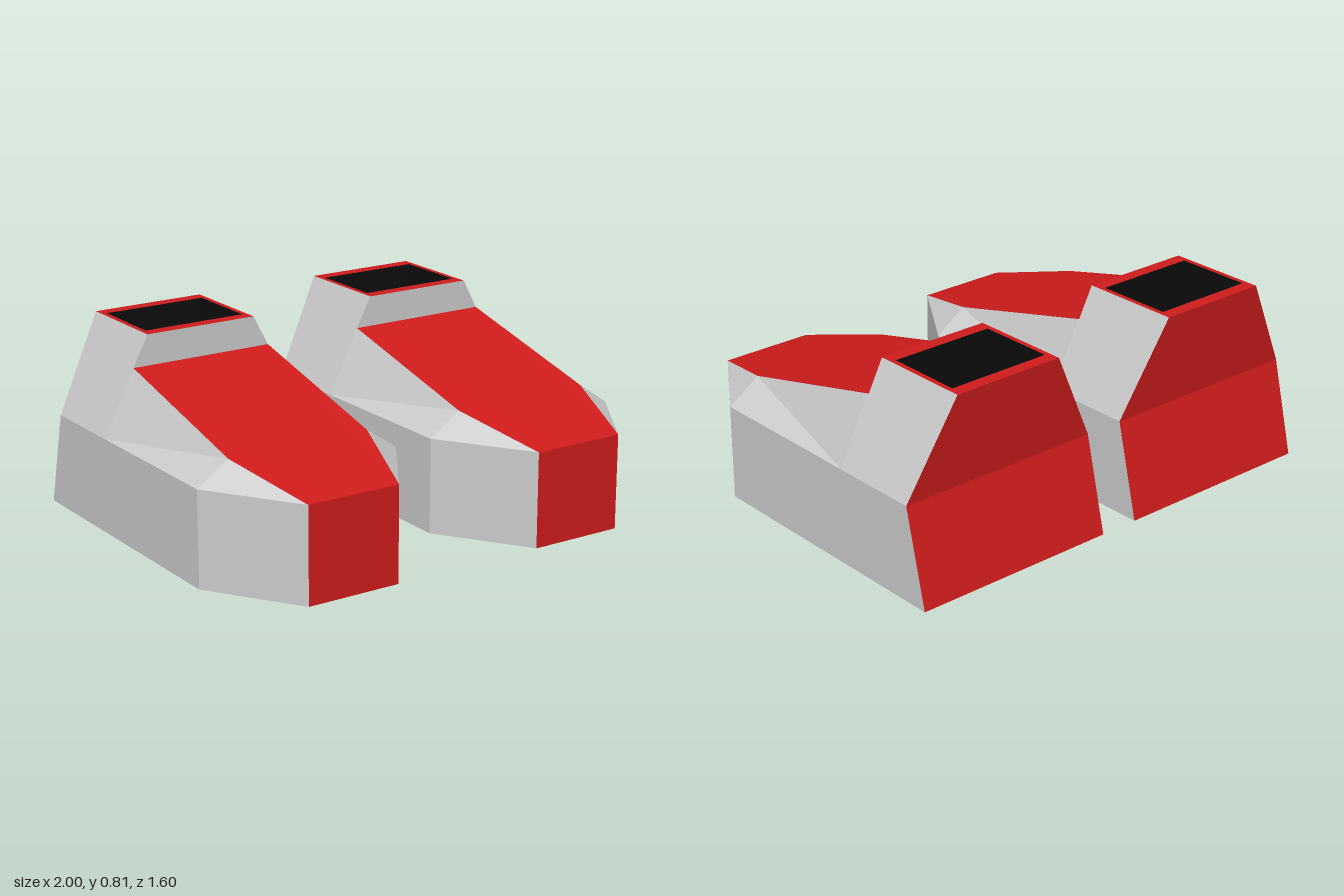
import * as THREE from 'three';

const red = new THREE.MeshStandardMaterial({ color: 0xd01c1c });
const grey = new THREE.MeshStandardMaterial({ color: 0xcccccc });
const black = new THREE.MeshStandardMaterial({ color: 0x0d0d0d });

// Flat-sided mesh from convex polygons, corners counter-clockwise seen from outside
function panels(name, material, polygons) {
  const positions = [];
  for (const p of polygons) {
    for (let i = 1; i < p.length - 1; i++) positions.push(...p[0], ...p[i], ...p[i + 1]);
  }
  const geometry = new THREE.BufferGeometry();
  geometry.setAttribute('position', new THREE.Float32BufferAttribute(positions, 3));
  geometry.computeVertexNormals();
  const mesh = new THREE.Mesh(geometry, material);
  mesh.name = name;
  return mesh;
}

const flip = ([x, y, z]) => [-x, y, z];
// Adds the mirrored polygon for the other side
const bothSides = (polygons) => polygons.flatMap((p) => [p, p.map(flip).reverse()]);
// Closes a half outline (given on +x) across the middle
const across = (half) => [...half, ...half.map(flip).reverse()];

function createShoe() {
  const shoe = new THREE.Group();

  // Corner points on the +x half
  const heelLow = [0.457, 0, -0.8], heelMid = [0.457, 0.405, -0.7];
  const sideLow = [0.457, 0, 0.42], sideMid = [0.457, 0.405, 0.42];
  const toeLow = [0.205, 0, 0.8], toeMid = [0.205, 0.405, 0.8];
  const ankleMid = [0.457, 0.405, -0.31], ankleHigh = [0.318, 0.68, -0.31];
  const instep = [0.318, 0.5, 0.42];
  const collarFront = [0.25, 0.81, -0.31], collarBack = [0.25, 0.81, -0.75];

  // Sole, toe cap, sloping top and heel
  shoe.add(panels('sole', red, [across([heelLow, sideLow, toeLow])]));
  shoe.add(panels('toeFront', red, [across([toeLow, toeMid])]));
  shoe.add(panels('slopingTop', red, [across([toeMid, instep, ankleHigh])]));
  shoe.add(panels('heel', red, [
    across([heelMid, heelLow]),
    across([collarBack, heelMid]),
  ]));

  // Grey walls, shoulders and collar
  shoe.add(panels('lowerWalls', grey, bothSides([
    [sideLow, heelLow, heelMid, ankleMid, sideMid],
    [toeLow, sideLow, sideMid, toeMid],
  ])));
  shoe.add(panels('shoulders', grey, bothSides([
    [instep, ankleMid, ankleHigh],
    [sideMid, ankleMid, instep],
    [toeMid, sideMid, instep],
  ])));
  shoe.add(panels('collarSides', grey, bothSides([
    [ankleMid, heelMid, collarBack, collarFront],
  ])));
  shoe.add(panels('collarFront', grey, [across([ankleHigh, collarFront])]));

  // Rim around the opening
  const rect = (w, a, b) => [[-w, a], [w, a], [w, b], [-w, b]].map(([x, y]) => new THREE.Vector2(x, y));
  const rimShape = new THREE.Shape(rect(0.25, 0.31, 0.75));
  rimShape.holes.push(new THREE.Path(rect(0.228, 0.365, 0.695)));
  const rim = new THREE.Mesh(new THREE.ShapeGeometry(rimShape), red);
  rim.name = 'rim';
  rim.rotation.x = -Math.PI / 2;
  rim.position.y = 0.81;
  shoe.add(rim);

  // Dark hollow: four inward walls and a floor
  const ring = (y) => [[-0.228, y, -0.365], [0.228, y, -0.365], [0.228, y, -0.695], [-0.228, y, -0.695]];
  const top = ring(0.81), floor = ring(0.41);
  const walls = top.map((p, i) => [p, top[(i + 1) % 4], floor[(i + 1) % 4], floor[i]]);
  shoe.add(panels('opening', black, [...walls, floor]));

  return shoe;
}

export function createModel() {
  const model = new THREE.Group();
  model.name = 'shoes';
  for (const [name, side] of [['leftShoe', 1], ['rightShoe', -1]]) {
    const shoe = createShoe();
    shoe.name = name;
    shoe.position.x = side * 0.543;
    model.add(shoe);
  }
  return model;
}
